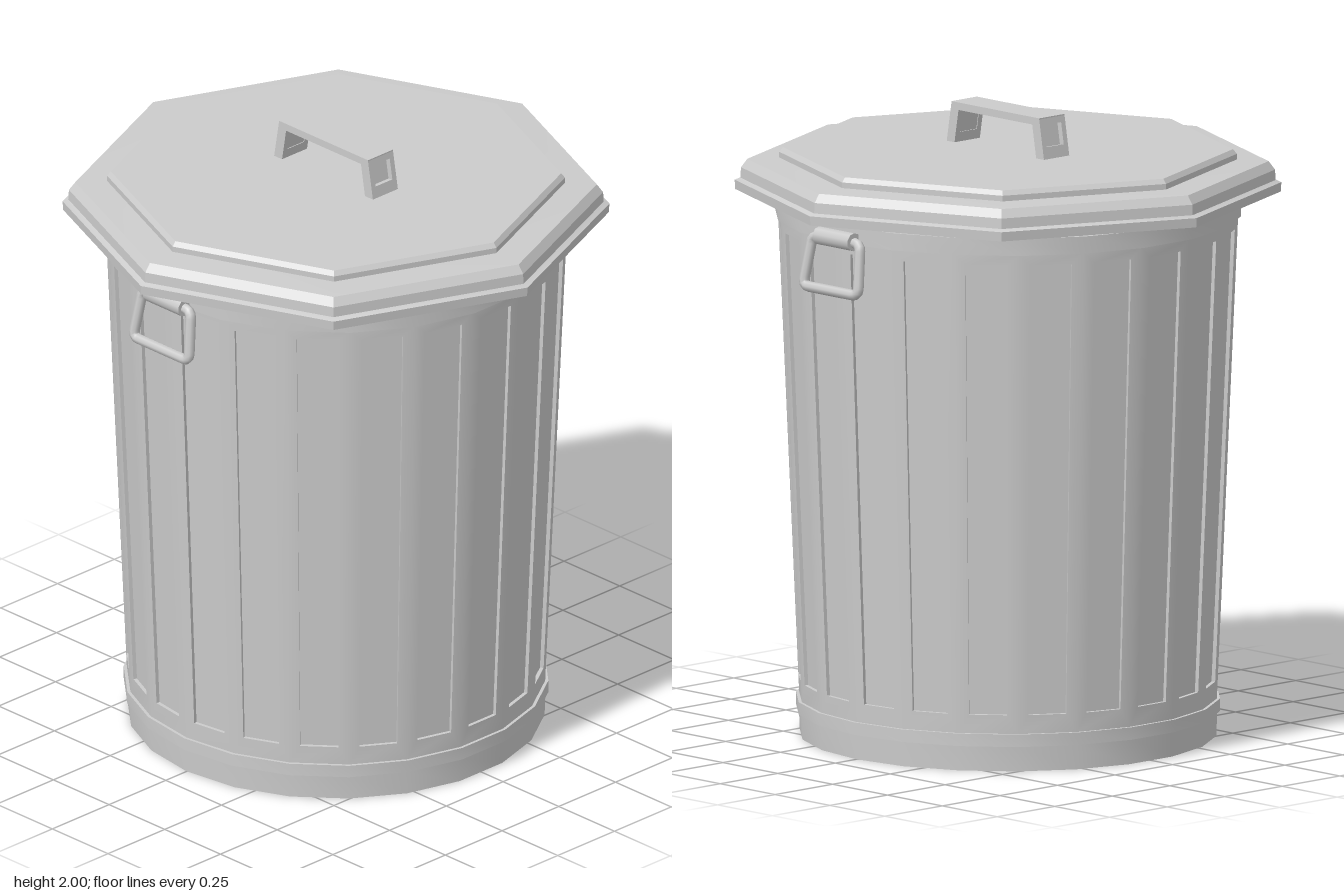
import * as THREE from 'three';
import { mergeGeometries, toCreasedNormals } from 'three/addons/utils/BufferGeometryUtils.js';

const SIDES = 22;
const material = new THREE.MeshStandardMaterial({ color: 0xcccccc });

function addMesh(parent, name, geometry, x = 0, y = 0, z = 0) {
  const mesh = new THREE.Mesh(geometry, material);
  mesh.name = name;
  mesh.position.set(x, y, z);
  parent.add(mesh);
  return mesh;
}

function lathe(points, sides, start = 0) {
  const geometry = new THREE.LatheGeometry(points.map(([r, y]) => new THREE.Vector2(r, y)), sides, start);
  const flat = geometry.toNonIndexed();
  flat.deleteAttribute('uv');
  return flat;
}

// Tapered wall: each side is a flat face with a shallow recessed panel
function wallGeometry() {
  const y0 = 0.12, y1 = 1.665, r0 = 0.66, r1 = 0.727, depth = 0.012;
  const step = (Math.PI * 2) / SIDES;
  const positions = [];
  const quad = (a, b, c, d) => [a, b, c, a, c, d].forEach((p) => positions.push(p.x, p.y, p.z));

  for (let i = 0; i < SIDES; i++) {
    const start = Math.PI / 2 + i * step;
    const middle = start + step / 2;
    const point = (u, y, inset = 0) => {
      const r = r0 + (r1 - r0) * (y - y0) / (y1 - y0);
      const p = new THREE.Vector3(Math.sin(start) * r, y, Math.cos(start) * r);
      p.lerp(new THREE.Vector3(Math.sin(start + step) * r, y, Math.cos(start + step) * r), u);
      p.x -= Math.sin(middle) * inset;
      p.z -= Math.cos(middle) * inset;
      return p;
    };
    const loop = (u, low, high, inset) =>
      [point(u, low, inset), point(1 - u, low, inset), point(1 - u, high, inset), point(u, high, inset)];
    const outer = loop(0, y0, y1, 0);
    const rim = loop(0.18, 0.18, 1.63, 0);
    const floor = loop(0.18, 0.18, 1.63, depth);
    for (let k = 0; k < 4; k++) {
      const n = (k + 1) % 4;
      quad(outer[k], outer[n], rim[n], rim[k]);
      quad(rim[k], rim[n], floor[n], floor[k]);
    }
    quad(...floor);
  }
  const geometry = new THREE.BufferGeometry();
  geometry.setAttribute('position', new THREE.Float32BufferAttribute(positions, 3));
  geometry.computeVertexNormals();
  return geometry;
}

// Leg of the lid handle, with a rectangular pocket in its outer face
function handleLeg(parent, side) {
  const leg = new THREE.Group();
  leg.name = 'lidHandleLeg';
  const shape = new THREE.Shape();
  shape.moveTo(-0.055, 0).lineTo(0.055, 0).lineTo(0.055, 0.13).lineTo(-0.055, 0.13).closePath();
  const hole = new THREE.Path();
  hole.moveTo(-0.037, 0.04).lineTo(-0.037, 0.11).lineTo(0.037, 0.11).lineTo(0.037, 0.04).closePath();
  shape.holes.push(hole);
  addMesh(leg, 'legFrame', new THREE.ExtrudeGeometry(shape, { depth: 0.035, bevelEnabled: false }), 0, 0, -0.035);
  addMesh(leg, 'legPocketBack', new THREE.BoxGeometry(0.08, 0.08, 0.015), 0, 0.075, -0.025);
  const pivot = new THREE.Group();
  pivot.name = 'lidHandleSide';
  leg.position.set(0, 1.868, 0.222);
  leg.rotation.x = -0.17;
  pivot.add(leg);
  pivot.rotation.y = side > 0 ? 0 : Math.PI;
  parent.add(pivot);
}

// Swinging carry handle: a bent rod hanging from a hinge
function carryHandle(parent, side) {
  const handle = new THREE.Group();
  handle.name = side > 0 ? 'leftHandle' : 'rightHandle';
  const corners = [[0.108, 1.675], [-0.108, 1.675], [-0.125, 1.515], [0.125, 1.515]].map(
    ([z, y]) => new THREE.Vector3(0.745 + (1.675 - y) * 0.16, y, z));
  const path = new THREE.CurvePath();
  const round = 0.025;
  const toward = (a, b) => a.clone().add(b.clone().sub(a).setLength(round));
  corners.forEach((c, i) => {
    const previous = corners[(i + 3) % 4], next = corners[(i + 1) % 4], after = corners[(i + 2) % 4];
    path.add(new THREE.QuadraticBezierCurve3(toward(c, previous), c, toward(c, next)));
    path.add(new THREE.LineCurve3(toward(c, next), toward(next, c)));
  });
  addMesh(handle, 'handleRod', new THREE.TubeGeometry(path, 64, 0.017, 8, true));
  const hinge = addMesh(handle, 'handleHinge', new THREE.CylinderGeometry(0.029, 0.029, 0.16, 10), 0.745, 1.678, 0);
  hinge.rotation.x = Math.PI / 2;
  addMesh(handle, 'hingePlate', new THREE.BoxGeometry(0.04, 0.05, 0.16), 0.725, 1.675, 0);
  handle.rotation.y = side > 0 ? 0 : Math.PI;
  parent.add(handle);
}

export function createModel() {
  const model = new THREE.Group();
  model.name = 'trashCan';

  // Body with foot band, panelled wall and top band
  const foot = lathe([[0, 0], [0.658, 0], [0.661, 0.08], [0.67, 0.08], [0.67, 0.12], [0.66, 0.12]], SIDES, Math.PI / 2);
  const collar = lathe([[0.727, 1.665], [0.736, 1.665], [0.736, 1.72], [0.722, 1.72], [0.722, 1.765]], SIDES, Math.PI / 2);
  const bodyGeometry = mergeGeometries([foot, wallGeometry(), collar].map((g) => {
    g.deleteAttribute('normal');
    return g;
  }));
  addMesh(model, 'body', toCreasedNormals(bodyGeometry, 0.5));

  // Eight-sided lid with overhanging rim and raised top
  const lidProfile = [[0, 1.76], [0.82, 1.76], [0.82, 1.735], [0.858, 1.735], [0.86, 1.765], [0.842, 1.772],
    [0.84, 1.805], [0.82, 1.832], [0.72, 1.837], [0.72, 1.855], [0.708, 1.87], [0, 1.87]];
  addMesh(model, 'lid', toCreasedNormals(lathe(lidProfile, 8), 0.5));

  // Lid handle
  const lidHandle = new THREE.Group();
  lidHandle.name = 'lidHandle';
  addMesh(lidHandle, 'lidHandleBar', new THREE.BoxGeometry(0.11, 0.024, 0.4), 0, 1.988, 0);
  [1, -1].forEach((side) => handleLeg(lidHandle, side));
  model.add(lidHandle);

  // Carry handles
  [1, -1].forEach((side) => carryHandle(model, side));
  return model;
}
